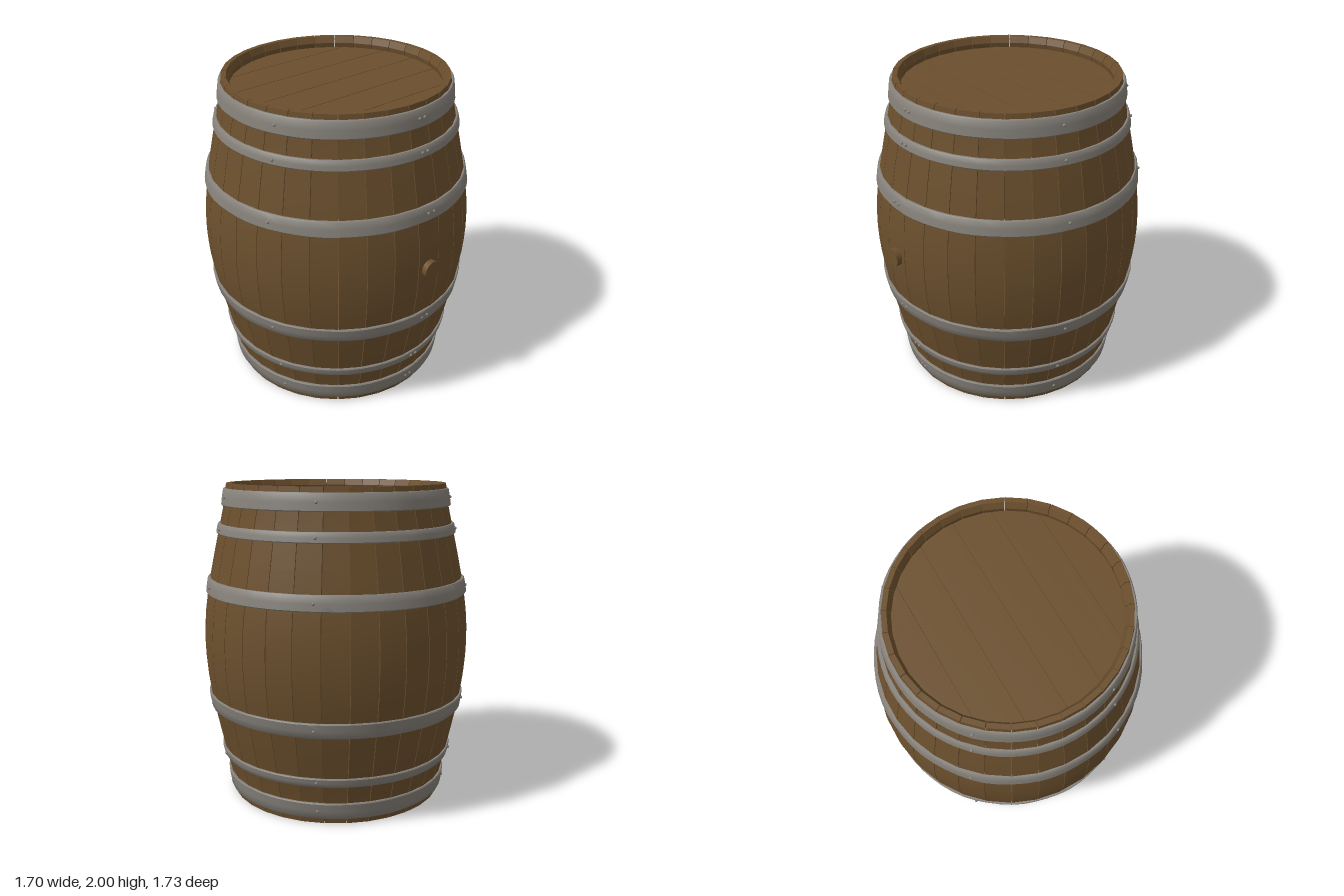
import * as THREE from 'three';
import { toCreasedNormals } from 'three/addons/utils/BufferGeometryUtils.js';

const wood = new THREE.MeshStandardMaterial({ name: 'oak wood', color: 0x6b4f2d });
const iron = new THREE.MeshStandardMaterial({ name: 'grey iron', color: 0x86817a });

const STAVES = 32;
const GAP = 0.004;

// Barrel bulge: distance from mid height -> outer radius
const BULGE = [[0, 0.848], [0.1, 0.845], [0.2, 0.837], [0.3, 0.823], [0.4, 0.806],
  [0.55, 0.775], [0.7, 0.742], [0.85, 0.708], [0.96, 0.692], [1, 0.686]];

function radiusAt(y) {
  const d = Math.min(Math.abs(y - 1), 1);
  let i = 1;
  while (BULGE[i][0] < d) i++;
  const [d0, r0] = BULGE[i - 1];
  const [d1, r1] = BULGE[i];
  return r0 + (r1 - r0) * (d - d0) / (d1 - d0);
}

function add(parent, name, geometry, material) {
  const mesh = new THREE.Mesh(geometry, material);
  mesh.name = name;
  parent.add(mesh);
  return mesh;
}

// One flat-faced plank, bent along the bulge and chamfered inside its ends
function staveGeometry() {
  const levels = BULGE.map(([d]) => 1 + d);
  const rows = [...levels.slice(1).map((y) => 2 - y).reverse(), ...levels];
  const geo = new THREE.BoxGeometry(2, 2, 2, 1, rows.length - 1, 1);
  const p = geo.attributes.position;
  for (let i = 0; i < p.count; i++) {
    const y = rows[Math.round((p.getY(i) + 1) / 2 * (rows.length - 1))];
    const end = y < 0.001 || y > 1.999;
    const r = radiusAt(y) - (p.getZ(i) > 0 ? 0 : end ? 0.03 : 0.055);
    const half = r * Math.tan(Math.PI / STAVES) - GAP / 2;
    p.setXYZ(i, Math.sign(p.getX(i)) * half, y, r);
  }
  return toCreasedNormals(geo, 0.5);
}

// Iron band following the bulge, with slight hammered dents
function hoopGeometry(y0, y1, dent) {
  const at = (y, out) => new THREE.Vector2(radiusAt(y) + out, y);
  const profile = [at(y0, -0.01), at(y0, 0.012), at(y0 + 0.006, 0.017),
    at((y0 + y1) / 2, 0.018), at(y1 - 0.006, 0.017), at(y1, 0.012), at(y1, -0.01)];
  const geo = new THREE.LatheGeometry(profile, 64);
  const p = geo.attributes.position;
  for (let i = 0; i < p.count; i++) {
    const a = Math.atan2(p.getX(i), p.getZ(i));
    const k = 1 + dent * Math.sin(a * 9 + p.getY(i) * 14) * Math.cos(a * 4);
    p.setX(i, p.getX(i) * k);
    p.setZ(i, p.getZ(i) * k);
  }
  return toCreasedNormals(geo, 0.7);
}

// Board of the round head, between two parallel cuts
function boardGeometry(a, b, R, thick) {
  const side = [];
  for (let i = 0; i <= 10; i++) {
    const v = a + (b - a) * i / 10;
    side.push(new THREE.Vector2(Math.sqrt(Math.max(R * R - v * v, 0)), v));
  }
  const left = side.map((q) => new THREE.Vector2(-q.x - 1e-4, q.y)).reverse();
  const geo = new THREE.ExtrudeGeometry(new THREE.Shape([...side, ...left]),
    { depth: thick, bevelEnabled: false });
  return geo.rotateX(-Math.PI / 2);
}

export function createModel() {
  const model = new THREE.Group();
  model.name = 'barrel';
  const body = new THREE.Group();
  body.name = 'barrelBody';
  body.position.z = -0.017;
  model.add(body);

  // Staves
  const stave = staveGeometry();
  for (let i = 0; i < STAVES; i++) {
    add(body, 'stave', stave, wood).rotation.y = i * Math.PI * 2 / STAVES;
  }

  // Recessed heads, six boards each
  const R = 0.645;
  for (const [name, y] of [['topHead', 1.895], ['bottomHead', 0.07]]) {
    const head = new THREE.Group();
    head.name = name;
    head.position.y = y;
    for (let i = -3; i < 3; i++) {
      const a = Math.max(i * 0.23 + GAP / 2, -R);
      const b = Math.min((i + 1) * 0.23 - GAP / 2, R);
      add(head, 'headBoard', boardGeometry(a, b, R, 0.035), wood);
    }
    body.add(head);
  }

  // Hoops with rivets
  const hoops = [[0.035, 0.14, 0.003], [0.255, 0.313, 0.001], [0.585, 0.68, 0.004],
    [1.325, 1.42, 0.004], [1.695, 1.757, 0.001], [1.865, 1.97, 0.003]];
  const rivet = new THREE.SphereGeometry(0.01, 10, 6);
  const rivetAngles = [-0.014, 0.04, 1.34, 2.4, 3.93, 5.1];
  for (const [y0, y1, dent] of hoops) {
    add(body, 'hoop', hoopGeometry(y0, y1, dent), iron);
    const y = (y0 + y1) / 2;
    const r = radiusAt(y) + 0.018;
    for (const a of rivetAngles) {
      add(body, 'rivet', rivet, iron).position.set(Math.sin(a) * r, y, Math.cos(a) * r);
    }
  }

  // Bung plug on the front
  const bung = add(model, 'bung', new THREE.CylinderGeometry(0.058, 0.054, 0.06, 24), wood);
  bung.rotation.x = Math.PI / 2;
  bung.position.set(0, 1.005, 0.836);

  return model;
}
